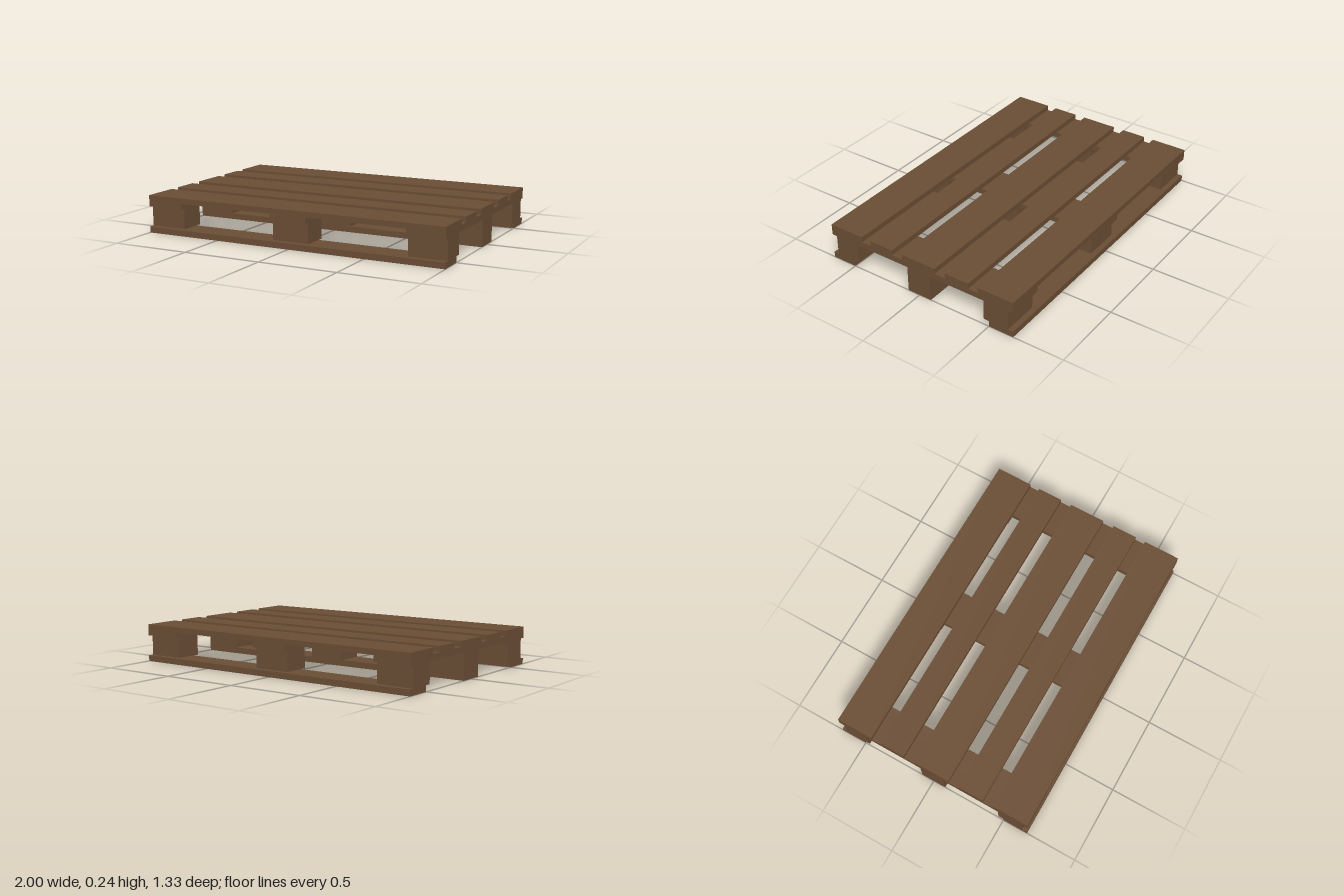
import * as THREE from 'three';

export function createModel() {
  const group = new THREE.Group();
  const wood = new THREE.MeshStandardMaterial({ color: 0x6b4e35 });
  wood.name = 'brown wood';

  // Box given by its ranges along x, y and z
  function plank(name, [x0, x1], [y0, y1], [z0, z1]) {
    const mesh = new THREE.Mesh(new THREE.BoxGeometry(x1 - x0, y1 - y0, z1 - z0), wood);
    mesh.position.set((x0 + x1) / 2, (y0 + y1) / 2, (z0 + z1) / 2);
    mesh.name = name;
    group.add(mesh);
  }

  const full = [-1, 1];
  const columns = [[-1, -0.76], [-0.12, 0.12], [0.76, 1]];
  const mirror = ([a, b]) => [-b, -a];
  const bottomY = 0.038, blockY = 0.168, crossY = 0.205, topY = 0.24;

  // Deck boards: wide at the edges and middle, narrow between
  const edge = [0.427, 0.667], narrow = [0.195, 0.36];
  for (const z of [edge, narrow, [-0.12, 0.12], mirror(narrow), mirror(edge)]) {
    plank('deckBoard', full, [crossY, topY], z);
  }

  // Cross boards under the deck
  for (const x of columns) plank('crossBoard', x, [blockY, crossY], [-0.667, 0.667]);

  // Three rows of spacer blocks, each on a bottom runner
  const blockZ = [0.465, 0.632], runnerZ = [0.502, 0.667], middleZ = [-0.083, 0.083];
  const rows = [[blockZ, runnerZ], [middleZ, middleZ], [mirror(blockZ), mirror(runnerZ)]];
  for (const [block, runner] of rows) {
    plank('bottomRunner', full, [0, bottomY], runner);
    for (const x of columns) plank('spacerBlock', x, [bottomY, blockY], block);
  }

  return group;
}
